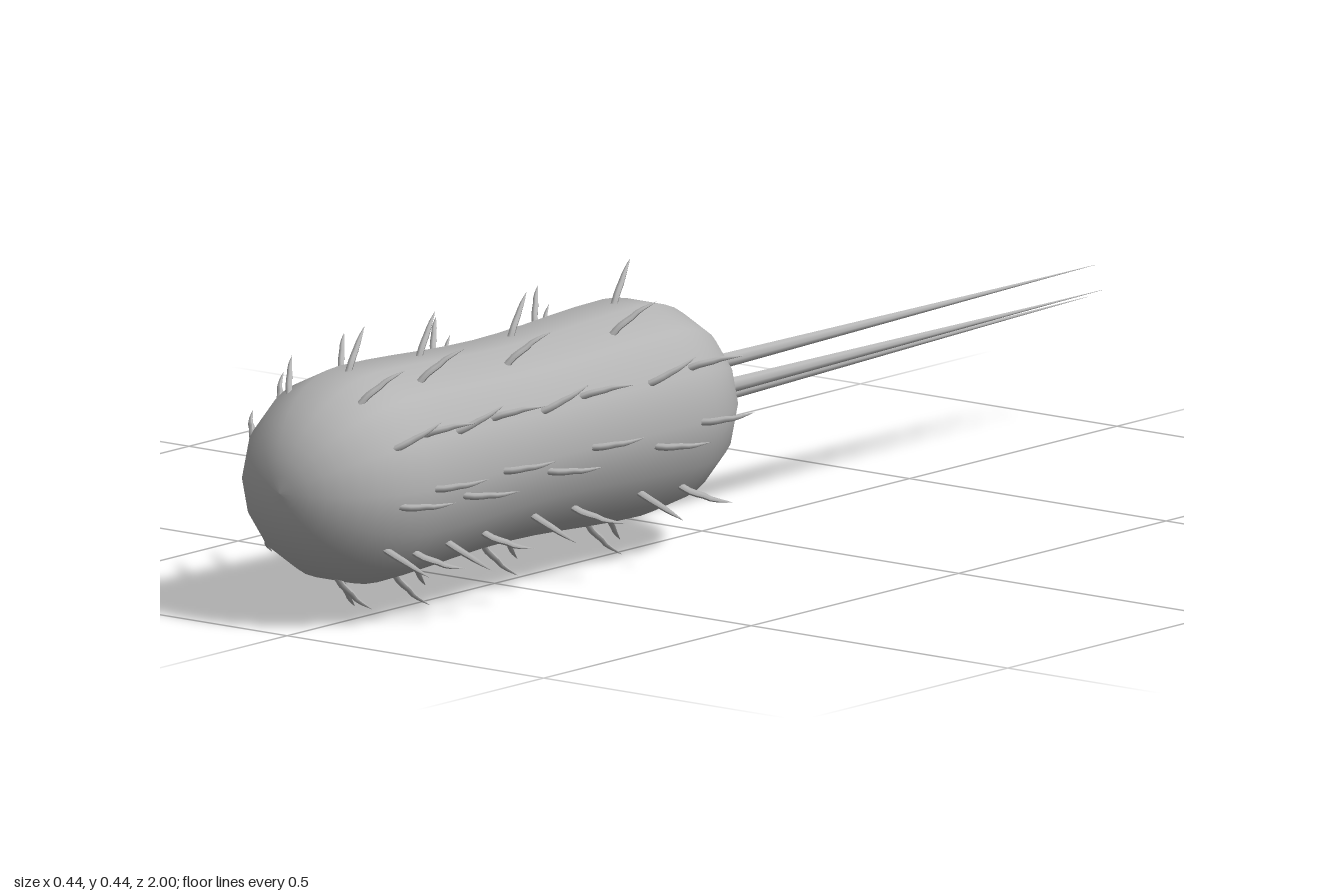
import * as THREE from 'three';

const CX = -0.015, CY = 0.223;          // long axis of the body
const BACK = -0.015, FRONT = 1, CAP = 0.19, R = 0.167;

// Body radius at a given z: rounded caps and a slightly narrowed waist
function bodyRadius(z) {
  const d = Math.min(z - BACK, FRONT - z);
  if (d < CAP) return R * Math.sqrt(Math.max(0, 1 - (1 - d / CAP) ** 2));
  const t = (z - BACK - CAP) / (FRONT - BACK - 2 * CAP);
  return R - 0.012 * Math.sin(Math.PI * t) ** 2;
}

// Tube along a curve, narrowing to a point
function taperedTube(curve, segments, radius, sides, power) {
  const geo = new THREE.TubeGeometry(curve, segments, radius, sides);
  const pos = geo.attributes.position, v = new THREE.Vector3();
  for (let i = 0; i <= segments; i++) {
    const c = curve.getPointAt(i / segments);
    const f = Math.max(0.02, 1 - (i / segments) ** power);
    for (let j = 0; j <= sides; j++) {
      const k = i * (sides + 1) + j;
      v.fromBufferAttribute(pos, k).sub(c).multiplyScalar(f).add(c);
      pos.setXYZ(k, v.x, v.y, v.z);
    }
  }
  geo.computeVertexNormals();
  return geo;
}

export function createModel() {
  const model = new THREE.Group();
  const grey = new THREE.MeshStandardMaterial({ color: 0xb4b4b4 });
  grey.name = 'grey';

  // Rod-shaped body
  const profile = [];
  for (let i = 0; i <= 10; i++) {
    const z = BACK + CAP * (1 - Math.cos(i / 10 * Math.PI / 2));
    profile.push(new THREE.Vector2(bodyRadius(z), z));
  }
  for (let i = 1; i < 10; i++) {
    const z = BACK + CAP + (FRONT - BACK - 2 * CAP) * i / 10;
    profile.push(new THREE.Vector2(bodyRadius(z), z));
  }
  for (let i = 10; i >= 0; i--) {
    const z = FRONT - CAP * (1 - Math.cos(i / 10 * Math.PI / 2));
    profile.push(new THREE.Vector2(bodyRadius(z), z));
  }
  const body = new THREE.Mesh(new THREE.LatheGeometry(profile, 14, Math.PI / 2), grey);
  body.name = 'body';
  body.rotation.x = Math.PI / 2;
  body.position.set(CX, CY, 0);
  model.add(body);

  // Three long tail filaments: base x, base y, tip x, tip y, tip z
  const tails = new THREE.Group();
  tails.name = 'tailFilaments';
  for (const [bx, by, tx, ty, tz] of [
    [-0.037, 0.195, -0.058, 0.198, -1],
    [-0.012, 0.256, -0.02, 0.257, -0.97],
    [0.014, 0.224, 0.003, 0.223, -0.96],
  ]) {
    const path = new THREE.LineCurve3(new THREE.Vector3(bx, by, 0.03), new THREE.Vector3(tx, ty, tz));
    const tail = new THREE.Mesh(taperedTube(path, 8, 0.013, 8, 1), grey);
    tail.name = 'tailFilament';
    tails.add(tail);
  }
  model.add(tails);

  // Short kinked hairs in staggered rings, all swept backwards
  const hairs = new THREE.Group();
  hairs.name = 'hairs';
  const anglesA = [92, 30, 0, -40, -97, -140, -172, 148];
  const anglesB = [120, 63, 27, -8, -38, -82, -142, 162];
  const rings = [
    [0.19, anglesA], [0.29, anglesB], [0.44, anglesA], [0.54, anglesB],
    [0.66, anglesA], [0.755, anglesB], [0.83, anglesA], [0.89, anglesB],
  ];
  // distance out, sideways shift, distance back
  const steps = [[-0.012, 0, 0], [0.008, 0.001, 0.012], [0.026, 0.005, 0.03], [0.034, 0.006, 0.036], [0.054, 0.014, 0.062]];
  for (const [z, angles] of rings) {
    angles.forEach((deg, n) => {
      const a = deg * Math.PI / 180, r = bodyRadius(z), side = n % 3 === 1 ? -1 : 1;
      const path = new THREE.CatmullRomCurve3(steps.map(([out, shift, back]) => new THREE.Vector3(
        CX + (r + out) * Math.cos(a) - shift * side * Math.sin(a),
        CY + (r + out) * Math.sin(a) + shift * side * Math.cos(a),
        z - back)));
      const hair = new THREE.Mesh(taperedTube(path, 8, 0.0055, 6, 3), grey);
      hair.name = 'hair';
      hairs.add(hair);
    });
  }
  model.add(hairs);
  return model;
}
